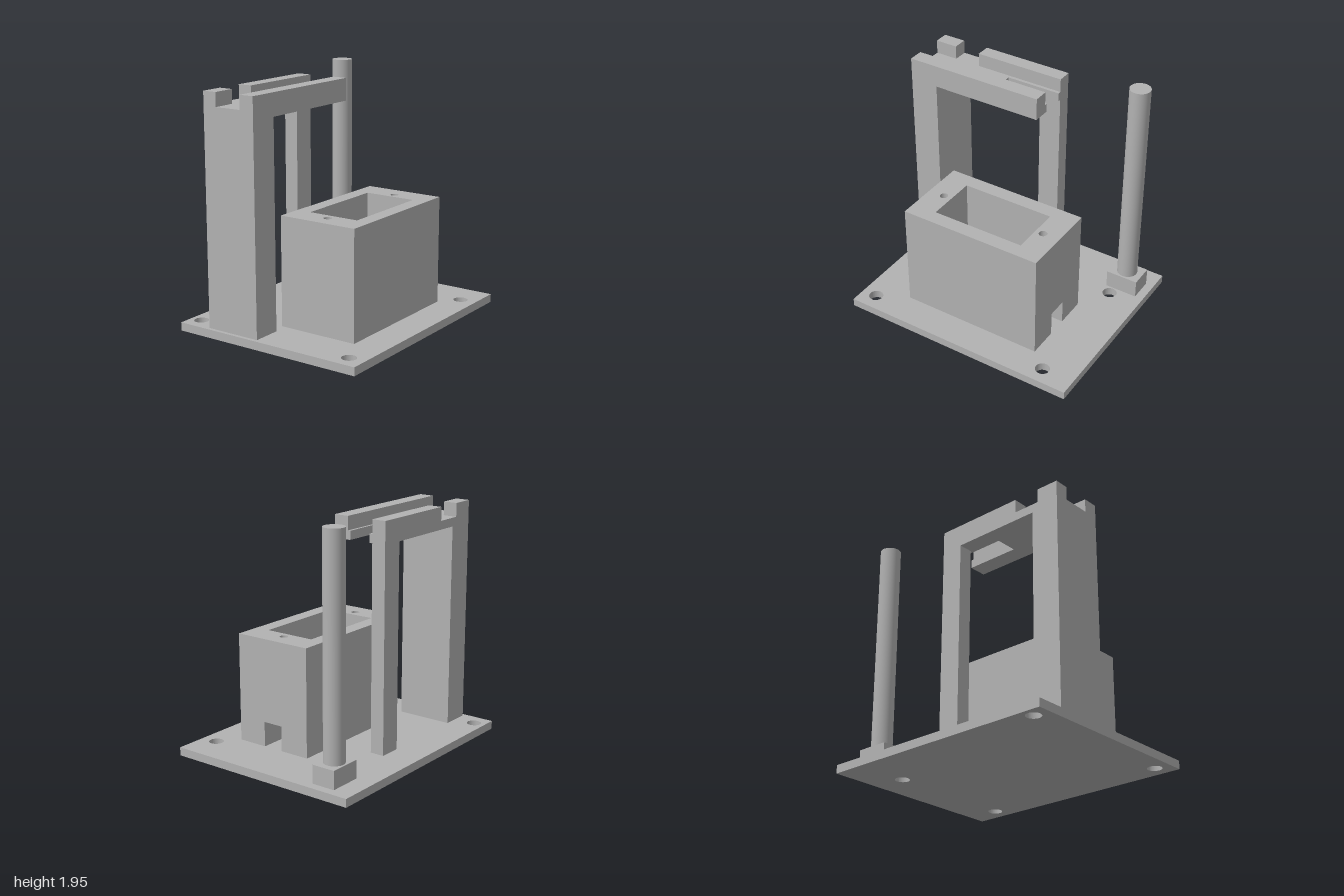
import * as THREE from 'three';

export function createModel() {
  const model = new THREE.Group();
  const grey = new THREE.MeshStandardMaterial({ color: 0xb2b2b2 });
  grey.name = 'plain grey';

  const add = (parent, name, geometry) => {
    const mesh = new THREE.Mesh(geometry, grey);
    mesh.name = name;
    parent.add(mesh);
    return mesh;
  };
  const group = (name) => {
    const g = new THREE.Group();
    g.name = name;
    model.add(g);
    return g;
  };

  // Box given by its limits on each axis
  const block = (parent, name, [x0, x1], [y0, y1], [z0, z1]) =>
    add(parent, name, new THREE.BoxGeometry(x1 - x0, y1 - y0, z1 - z0))
      .position.set((x0 + x1) / 2, (y0 + y1) / 2, (z0 + z1) / 2);

  // Upright extrusion of an outline given as [x, z] pairs
  const toPoints = (pts) => pts.map(([x, z]) => new THREE.Vector2(x, -z));
  const rect = (x0, x1, z0, z1) => [[x0, z0], [x0, z1], [x1, z1], [x1, z0]];
  const circle = (x, z, r) => new THREE.Path().absarc(x, -z, r, 0, Math.PI * 2, true);
  const slab = (parent, name, outline, holes, y0, y1) => {
    const shape = new THREE.Shape(toPoints(outline));
    shape.holes = holes;
    const geometry = new THREE.ExtrudeGeometry(shape, { depth: y1 - y0, bevelEnabled: false, curveSegments: 32 });
    geometry.rotateX(-Math.PI / 2).translate(0, y0, 0);
    add(parent, name, geometry);
  };

  const floor = 0.067;

  // Base plate with four mounting holes
  const mounts = [[-0.87, -0.72], [0.73, -0.385], [-0.87, 0.68], [0.73, 0.68]];
  slab(model, 'basePlate', rect(-1, 1, -0.815, 0.815),
    mounts.map(([x, z]) => circle(x, z, 0.058)), 0, floor);

  // Open-topped housing: cable slot in the lower layer, screw holes in the upper
  const housing = group('housing');
  slab(housing, 'housingLower', [
    [-0.62, -0.12], [-0.62, 0.55], [0.58, 0.55], [0.58, 0.302], [0.37, 0.302], [0.37, 0.43],
    [-0.41, 0.43], [-0.41, 0], [0.37, 0], [0.37, 0.132], [0.58, 0.132], [0.58, -0.12],
  ], [], floor, 0.27);
  slab(housing, 'housingUpper', rect(-0.62, 0.58, -0.12, 0.55), [
    new THREE.Path(toPoints(rect(-0.41, 0.37, 0, 0.43))),
    circle(-0.482, 0.215, 0.033),
    circle(0.436, 0.215, 0.033),
  ], 0.27, 0.945);

  // Gantry: wide column, slim rear leg, slotted deck and guide rails
  const gantry = group('gantry');
  block(gantry, 'column', [-0.97, -0.735], [floor, 1.715], [-0.55, -0.085]);
  block(gantry, 'rearLeg', [0, 0.182], [floor, 1.715], [-0.55, -0.433]);
  slab(gantry, 'deck', [
    [-0.97, -0.55], [-0.97, -0.085], [0.182, -0.085], [0.182, -0.23],
    [-0.272, -0.23], [-0.272, -0.407], [0.182, -0.407], [0.182, -0.55],
  ], [], 1.715, 1.785);
  block(gantry, 'frontRail', [-0.97, 0.182], [1.785, 1.895], [-0.208, -0.085]);
  block(gantry, 'rearRailShort', [-0.97, -0.785], [1.785, 1.895], [-0.55, -0.433]);
  block(gantry, 'rearRailLong', [-0.567, 0.182], [1.785, 1.895], [-0.55, -0.433]);

  // Round post on its foot
  const post = group('post');
  block(post, 'postFoot', [0.662, 0.93], [floor, 0.215], [-0.652, -0.455]);
  add(post, 'postRod', new THREE.CylinderGeometry(0.083, 0.083, 1.735, 48))
    .position.set(0.796, 0.215 + 1.735 / 2, -0.553);

  return model;
}
